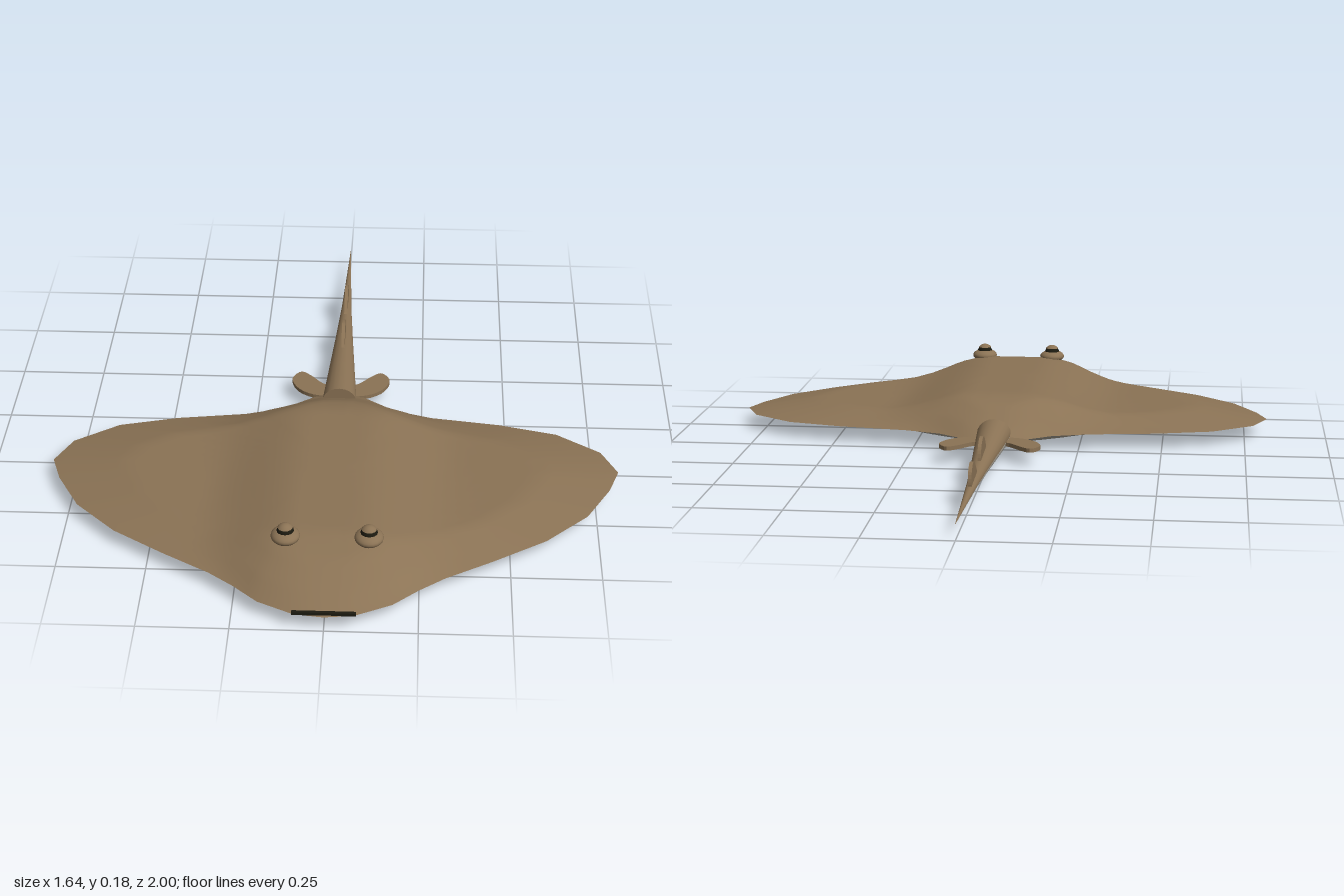
import * as THREE from 'three';

const brown = new THREE.MeshStandardMaterial({ color: 0x8b7355 });
brown.name = 'sandy brown skin';
const pale = new THREE.MeshStandardMaterial({ color: 0xb4ada0 });
pale.name = 'pale belly';
const dark = new THREE.MeshStandardMaterial({ color: 0x1c1a10 });
dark.name = 'dark eye';

// Half outline of the disc, nose to tail root, as [x, z]
const HALF = [
  [0, 1], [0.08, 0.99], [0.18, 0.94], [0.25, 0.875], [0.32, 0.82], [0.45, 0.74], [0.6, 0.64],
  [0.72, 0.52], [0.79, 0.39], [0.82, 0.3], [0.775, 0.2], [0.65, 0.11], [0.48, 0.065],
  [0.28, 0.035], [0.17, 0], [0.06, -0.08], [0, -0.085],
];
const CENTRE_Z = 0.45;
const RIM_Y = 0.048;
const clamp = THREE.MathUtils.clamp;
const smooth = THREE.MathUtils.smoothstep;

// Raised middle plus a flat wing that thins out at the rim (t = 1)
function thickness(x, z, t, hump, wing) {
  const along = Math.min(smooth(z, -0.1, 0.17), clamp((1 - z) / 0.25, 0, 1));
  const across = 1 - smooth(Math.abs(x), 0.08, 0.36);
  return hump * along * across * clamp((1 - t) / 0.1, 0, 1) + wing * clamp((1 - t) / 0.27, 0, 1);
}

// One side of the disc, made of rings shrinking towards the centre
function discSide(sign, hump, wing) {
  const mirrored = HALF.slice(1, -1).reverse().map(([x, z]) => [-x, z]);
  const corners = [...HALF, ...mirrored];
  const outline = [];
  corners.forEach(([x, z], i) => {
    const [nx, nz] = corners[(i + 1) % corners.length];
    outline.push([x, z], [(x + nx) / 2, (z + nz) / 2]);
  });
  const n = outline.length, rings = 22;
  const pos = [0, RIM_Y + sign * (hump + wing), CENTRE_Z], index = [];
  const tri = (a, b, c) => (sign > 0 ? index.push(a, b, c) : index.push(a, c, b));
  for (let r = 1; r <= rings; r++) {
    const t = r / rings;
    for (const [ox, oz] of outline) {
      const x = ox * t, z = CENTRE_Z + (oz - CENTRE_Z) * t;
      pos.push(x, RIM_Y + sign * thickness(x, z, t, hump, wing), z);
    }
    for (let i = 0; i < n; i++) {
      const j = (i + 1) % n, b = 1 + (r - 1) * n, a = b - n;
      if (r === 1) tri(0, b + i, b + j);
      else {
        tri(a + i, b + i, b + j);
        tri(a + i, b + j, a + j);
      }
    }
  }
  const g = new THREE.BufferGeometry();
  g.setAttribute('position', new THREE.Float32BufferAttribute(pos, 3));
  g.setIndex(index);
  g.computeVertexNormals();
  return g;
}

function add(parent, name, geometry, material) {
  const mesh = new THREE.Mesh(geometry, material);
  mesh.name = name;
  parent.add(mesh);
  return mesh;
}

// Thin fin from a smooth curve through points, centred on its thickness
function finGeometry(points, depth) {
  const curve = new THREE.SplineCurve(points.map(([x, y]) => new THREE.Vector2(x, y)));
  const shape = new THREE.Shape(curve.getPoints(24));
  return new THREE.ExtrudeGeometry(shape, { depth, bevelEnabled: false }).translate(0, 0, -depth / 2);
}

function makeTail() {
  const tail = new THREE.Group();
  tail.name = 'tail';
  const profile = [[0.052, 0], [0.041, 0.17], [0.028, 0.37], [0.016, 0.57], [0.008, 0.77], [0.0005, 0.97]]
    .map(([r, y]) => new THREE.Vector2(r, y));
  const half = (start) => new THREE.LatheGeometry(profile, 10, start, Math.PI).rotateX(-Math.PI / 2);
  add(tail, 'tailUpper', half(-Math.PI / 2), brown);
  add(tail, 'tailUnderside', half(Math.PI / 2), pale);
  add(tail, 'tailRootCap', new THREE.CircleGeometry(0.052, 20), brown);
  tail.scale.y = 0.9;
  tail.rotation.x = -0.011;
  tail.position.set(0, 0.057, -0.03);
  return tail;
}

function makeEye(side) {
  const eye = new THREE.Group();
  eye.name = side > 0 ? 'leftEye' : 'rightEye';
  // Low mound, dark eyeball and a small lid on top
  add(eye, 'eyeMound', new THREE.SphereGeometry(0.04, 20, 12).scale(1, 0.5, 1.05), brown);
  add(eye, 'eyeball', new THREE.SphereGeometry(0.024, 16, 12), dark).position.y = 0.012;
  const lid = new THREE.SphereGeometry(0.0255, 16, 8, 0, Math.PI * 2, 0, Math.PI * 0.3);
  add(eye, 'eyelid', lid, brown).position.y = 0.012;
  eye.position.set(side * 0.113, 0.143, 0.77);
  return eye;
}

export function createModel() {
  const model = new THREE.Group();
  model.name = 'ray';

  // Flattened disc: brown back and pale belly
  add(model, 'back', discSide(1, 0.061, 0.034), brown);
  add(model, 'belly', discSide(-1, 0.034, 0.012), pale);

  // Dark slit along the tip of the snout
  const slit = new THREE.BoxGeometry(0.17, 0.009, 0.009);
  add(model, 'snoutSlit', slit, dark).position.set(0, 0.053, 0.989);

  model.add(makeTail());

  // Two dorsal fins on the tail; points are [distance back, height]
  const dorsals = [
    [[0.27, 0.06], [0.3, 0.085], [0.345, 0.122], [0.385, 0.13], [0.425, 0.112], [0.44, 0.075], [0.43, 0.05]],
    [[0.5, 0.05], [0.54, 0.073], [0.59, 0.108], [0.63, 0.118], [0.665, 0.1], [0.675, 0.065], [0.665, 0.045]],
  ];
  dorsals.forEach((points, i) => {
    const g = finGeometry(points, 0.01).rotateY(Math.PI / 2);
    add(model, i ? 'rearDorsalFin' : 'frontDorsalFin', g, brown);
  });

  // Paired pelvic fins beside the tail root; points are [x, distance back]
  const pelvic = [[0.02, 0.06], [0.08, 0.07], [0.125, 0.1], [0.148, 0.145], [0.145, 0.175],
    [0.122, 0.2], [0.09, 0.175], [0.055, 0.135], [0.02, 0.12]];
  for (const side of [1, -1]) {
    const points = pelvic.map(([x, z]) => [x * side, z]);
    const fin = finGeometry(points, 0.012).rotateX(-Math.PI / 2);
    add(model, side > 0 ? 'leftPelvicFin' : 'rightPelvicFin', fin, brown).position.y = 0.05;
    model.add(makeEye(side));
  }
  return model;
}
